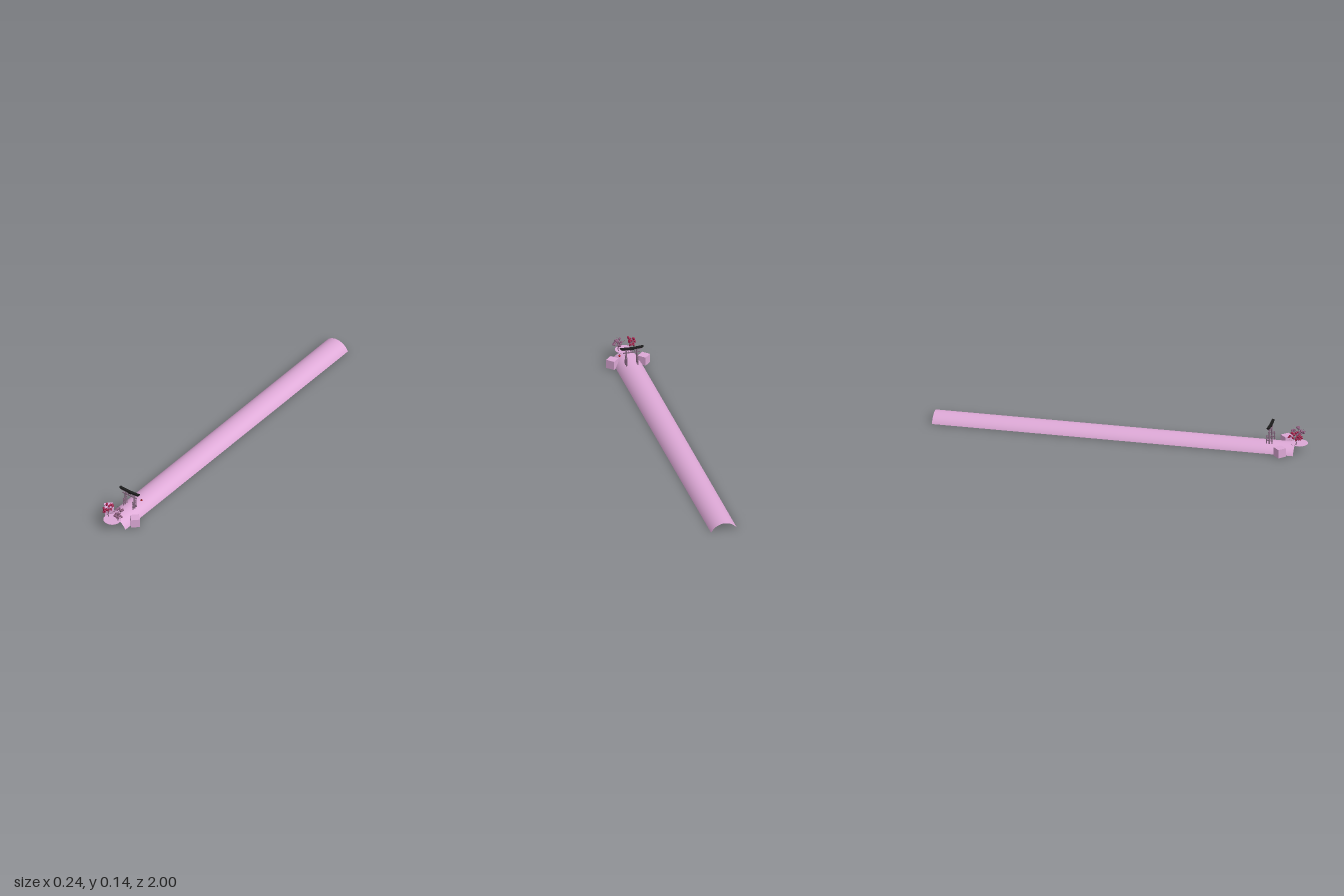
import * as THREE from 'three';

const mat = (color, extra = {}) => new THREE.MeshStandardMaterial({ color, ...extra });
const pink = mat(0xdda8d6);
const pinkThin = mat(0xdda8d6, { side: THREE.DoubleSide });
const wood = mat(0x8a6c84);
const black = mat(0x1c1c1c);
const crimson = mat(0xa01c48, { flatShading: true });
const mauve = mat(0x8c5c7c, { flatShading: true });
const red = mat(0xb01c20);

function add(parent, name, geometry, material, x = 0, y = 0, z = 0) {
  const mesh = new THREE.Mesh(geometry, material);
  mesh.name = name;
  mesh.position.set(x, y, z);
  parent.add(mesh);
  return mesh;
}

function group(parent, name, x = 0, y = 0, z = 0) {
  const g = new THREE.Group();
  g.name = name;
  g.position.set(x, y, z);
  parent.add(g);
  return g;
}

function seeded(seed) {
  return () => (seed = (seed * 16807) % 2147483647) / 2147483647;
}

// Round bar between two points
function bar(parent, name, a, b, r0, r1, material) {
  const from = new THREE.Vector3(...a), dir = new THREE.Vector3(...b).sub(from);
  const mesh = add(parent, name, new THREE.CylinderGeometry(r1, r0, dir.length(), 10), material);
  mesh.position.copy(from).addScaledVector(dir, 0.5);
  mesh.quaternion.setFromUnitVectors(new THREE.Vector3(0, 1, 0), dir.normalize());
  return mesh;
}

// Upward curving beam, its ends lifted and slanted outwards
function curvedBeam(bottomHalf, topHalf, bottom, top, lift, depth) {
  const s = new THREE.Shape();
  s.moveTo(-bottomHalf, bottom + lift);
  s.quadraticCurveTo(0, bottom - lift, bottomHalf, bottom + lift);
  s.lineTo(topHalf, top + lift);
  s.quadraticCurveTo(0, top - lift, -topHalf, top + lift);
  s.closePath();
  return new THREE.ExtrudeGeometry(s, { depth, bevelEnabled: false, curveSegments: 16 })
    .translate(0, 0, -depth / 2);
}

function buildGate(parent) {
  const gate = group(parent, 'gate', 0, 0, 0.8);
  add(gate, 'roofBeam', curvedBeam(0.06, 0.064, 0.131, 0.139, 0.004, 0.014), black);
  add(gate, 'upperLintel', curvedBeam(0.053, 0.056, 0.125, 0.131, 0.003, 0.008), wood);
  add(gate, 'lowerLintel', new THREE.BoxGeometry(0.092, 0.005, 0.005), wood, 0, 0.111, 0);
  add(gate, 'plaque', new THREE.BoxGeometry(0.02, 0.005, 0.016), black, 0, 0.13, 0);
  for (const x of [-0.018, -0.006, 0.006, 0.018])
    add(gate, 'strut', new THREE.BoxGeometry(0.0018, 0.016, 0.003), wood, x, 0.118, 0);
  for (const s of [-1, 1]) {
    bar(gate, 'pillar', [s * 0.031, 0.041, 0], [s * 0.028, 0.128, 0], 0.0045, 0.0038, wood);
    for (const z of [-0.015, 0.015]) {
      bar(gate, 'supportLeg', [s * 0.031, 0.041, z], [s * 0.03, 0.086, z * 0.87], 0.003, 0.0026, wood);
      add(gate, 'legCap', new THREE.BoxGeometry(0.007, 0.002, 0.007), wood, s * 0.03, 0.087, z * 0.87);
    }
    for (const y of [0.058, 0.078])
      add(gate, 'tieBeam', new THREE.BoxGeometry(0.003, 0.004, 0.036), wood, s * 0.03, y, 0);
  }
}

// Blossom tree: bent trunk, branches and clustered blossom
function buildTree(parent, side, blossom) {
  const rand = seeded(side < 0 ? 71 : 137);
  const tree = group(parent, side < 0 ? 'rightTree' : 'leftTree', side * 0.031, 0.047, 0.943);
  const trunk = new THREE.CatmullRomCurve3([[0, 0, 0], [0.002, 0.015, 0.002], [-0.001, 0.032, -0.001], [0.003, 0.05, 0]]
    .map(([x, y, z]) => new THREE.Vector3(x * side, y, z)));
  add(tree, 'trunk', new THREE.TubeGeometry(trunk, 12, 0.0026, 7), wood);
  const clusters = [
    [0.026, 0.042, 0.006], [0.014, 0.04, 0.02], [-0.004, 0.07, 0.002], [-0.008, 0.06, -0.02],
    [0.005, 0.05, -0.032], [0.004, 0.047, 0.03], [-0.003, 0.045, 0.008], [0.015, 0.067, -0.008],
    [0.003, 0.055, 0.016], [-0.002, 0.037, -0.012],
  ];
  for (const [x, y, z] of clusters) {
    const c = [x * side, y, z];
    bar(tree, 'branch', [0, 0.024, 0], c, 0.0013, 0.0006, wood);
    for (let i = 0; i < 5; i++) {
      const puff = add(tree, 'blossom', new THREE.IcosahedronGeometry(0.0035 + rand() * 0.0025, 1), blossom,
        c[0] + (rand() - 0.5) * 0.011, c[1] + (rand() - 0.5) * 0.01, c[2] + (rand() - 0.5) * 0.012);
      puff.rotation.set(rand() * 3, rand() * 3, 0);
    }
  }
  // Loose petals drifting around the crown
  for (let i = 0; i < 45; i++) {
    const a = rand() * Math.PI * 2, r = 0.018 + rand() * 0.027;
    add(tree, 'petal', new THREE.TetrahedronGeometry(0.0009), blossom,
      Math.cos(a) * r, 0.03 + rand() * 0.048, Math.sin(a) * r);
  }
}

export function createModel() {
  const model = new THREE.Group();
  model.name = 'archedWalkway';

  // Long open vault, a circular arc in section
  const halfWidth = 0.0725, height = 0.046, length = 1.935;
  const radius = (halfWidth ** 2 + height ** 2) / (2 * height);
  const angle = Math.asin(halfWidth / radius);
  const vault = new THREE.CylinderGeometry(radius, radius, length, 40, 1, true, -angle, 2 * angle).rotateX(-Math.PI / 2);
  add(model, 'vault', vault, pinkThin, 0, height - radius, length / 2 - 1);

  // Round terrace at the front end
  add(model, 'terrace', new THREE.CylinderGeometry(0.046, 0.046, 0.0016, 40), pink, 0, 0.0472, 0.954);

  // Blocks turned on their corners at both sides
  for (const s of [-1, 1])
    add(model, 'cornerBlock', new THREE.BoxGeometry(0.0475, 0.048, 0.0475), pink, s * 0.0857, 0.024, 0.868)
      .rotation.y = Math.PI / 4;

  buildGate(model);
  buildTree(model, -1, crimson);
  buildTree(model, 1, mauve);

  // Hanging lantern beside the gate
  const lantern = group(model, 'lantern', 0.069, 0.106, 0.79);
  add(lantern, 'lanternBody', new THREE.SphereGeometry(0.0055, 16, 12), red);
  for (const y of [-0.005, 0.005])
    add(lantern, 'lanternCap', new THREE.CylinderGeometry(0.0025, 0.0025, 0.0015, 12), black, 0, y, 0);

  return model;
}
